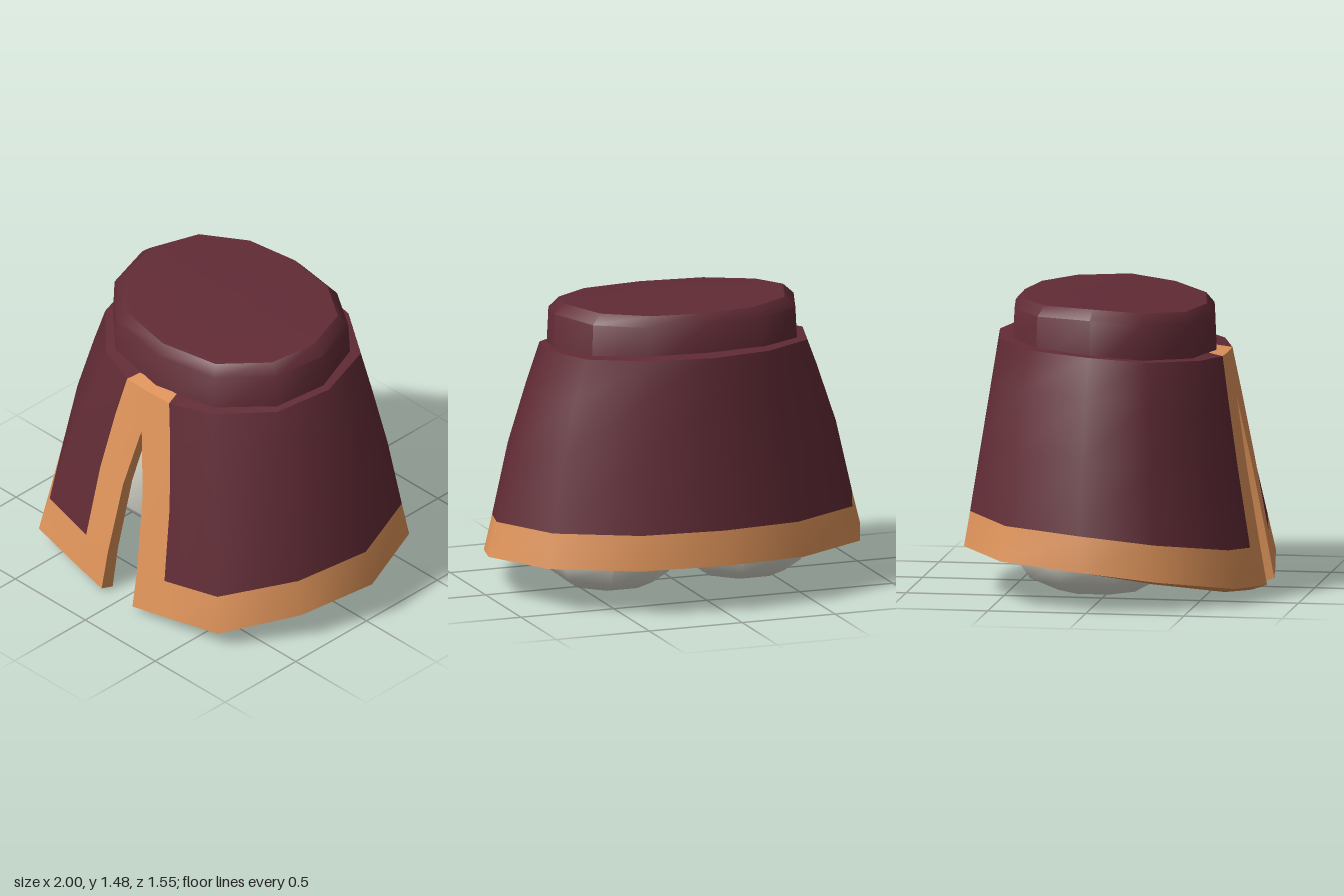
import * as THREE from 'three';
import { toCreasedNormals } from 'three/addons/utils/BufferGeometryUtils.js';

const V = (x, y, z) => new THREE.Vector3(x, y, z);

// Surface through rows of points; quads where second(i, j) is true use the second material.
function loft(rows, second = () => false, crease = 0.9) {
  const n = rows[0].length, sets = [[], []];
  for (let i = 0; i < rows.length - 1; i++) {
    for (let j = 0; j < n - 1; j++) {
      const a = i * n + j, d = a + n;
      sets[second(i, j) ? 1 : 0].push(a, a + 1, d + 1, a, d + 1, d);
    }
  }
  const g = new THREE.BufferGeometry();
  g.setAttribute('position', new THREE.Float32BufferAttribute(rows.flat().flatMap((p) => p.toArray()), 3));
  g.setIndex([...sets[0], ...sets[1]]);
  g.addGroup(0, sets[0].length, 0);
  g.addGroup(sets[0].length, sets[1].length, 1);
  return toCreasedNormals(g, crease);
}

// Half outline running front to back, completed on the -x side.
const mirrored = (half) => [...half, ...half.slice(0, -1).reverse().map((p) => V(-p.x, p.y, p.z))];

// Eight-sided oval ring with flats facing the axes.
const oval = (cx, y, cz, rx, rz) => Array.from({ length: 9 }, (_, k) => {
  const a = ((k + 0.5) / 8) * Math.PI * 2;
  return V(cx + 1.06 * rx * Math.sin(a), y, cz + 1.06 * rz * Math.cos(a));
});

export function createModel() {
  const cloth = new THREE.MeshStandardMaterial({ color: 0x612b35 });
  cloth.name = 'maroon cloth';
  const trim = new THREE.MeshStandardMaterial({ color: 0xdf945a });
  trim.name = 'golden trim';
  const legColor = new THREE.MeshStandardMaterial({ color: 0xe2e1d6 });
  legColor.name = 'pale grey';

  const model = new THREE.Group();
  model.name = 'skirtedHips';
  const add = (name, geometry, material, parent = model) => {
    const mesh = new THREE.Mesh(geometry, material);
    mesh.name = name;
    parent.add(mesh);
  };

  // Skirt columns: hem point, then waist point, from the front slit to the back
  const columns = [
    [0.11, 0.02, 0.775, 0, 1.185, 0.56],
    [0.29, 0.04, 0.75, 0.15, 1.185, 0.555],
    [0.64, 0.08, 0.695, 0.375, 1.195, 0.48],
    [0.88, 0.14, 0.34, 0.615, 1.215, 0.25],
    [1.0, 0.2, -0.04, 0.69, 1.245, -0.04],
    [0.84, 0.22, -0.46, 0.595, 1.26, -0.36],
    [0.44, 0.23, -0.715, 0.315, 1.27, -0.55],
    [0, 0.235, -0.775, 0, 1.272, -0.605],
  ];
  const levels = [0, 0.17, 0.52, 0.81, 1];
  const bulge = [1, 1.008, 1.036, 1.022, 1];
  const slitX = [0.11, 0.105, 0.07, 0, 0];
  const trimX = [0.29, 0.28, 0.248, 0.195, 0.15];
  const outer = levels.map((t, i) => mirrored(columns.map(([x0, y0, z0, x1, y1, z1], j) => {
    const x = j === 0 ? slitX[i] : j === 1 ? trimX[i] : (x0 + (x1 - x0) * t) * bulge[i];
    return V(x, y0 + (y1 - y0) * t, z0 + (z1 - z0) * t);
  })));
  const last = outer[0].length - 1;
  const inner = outer.map((row, i) => row.map((p, j) => {
    const edge = j === 0 || j === last;
    const drop = i === 0 ? -0.01 - 0.015 * Math.max(0, p.z + 0.3) : i === 4 ? 0.012 : 0;
    const inset = i === 4 ? 0.87 : 0.92;
    return V(p.x * (edge ? 1 : inset), p.y + drop, p.z * (edge ? inset - 0.02 : inset));
  }));

  const skirt = new THREE.Group();
  skirt.name = 'skirt';
  model.add(skirt);
  const frontTrim = (j) => j === 0 || j === last - 1;
  add('skirtOutside', loft(outer, (i, j) => i === 0 || frontTrim(j)), [cloth, trim], skirt);
  add('skirtRim', loft([outer[4], inner[4]], (i, j) => frontTrim(j)), [cloth, trim], skirt);
  add('skirtLining', loft([...inner].reverse()), trim, skirt);
  add('skirtHem', loft([inner[0], outer[0]]), trim, skirt);
  // Thickness of the cloth along both sides of the slit
  const wall = [0, 1, 2, 3];
  add('leftSlitEdge', loft(wall.map((i) => [inner[i][0], outer[i][0]])), trim, skirt);
  add('rightSlitEdge', loft(wall.map((i) => [outer[i][last], inner[i][last]])), trim, skirt);

  // Waistband: bevelled, slightly tilted ring with a closed top
  const plan = [[0, 0.503], [0.355, 0.44], [0.59, 0.225], [0.655, -0.04], [0.555, -0.33], [0.31, -0.49], [0, -0.535]];
  const topY = (z) => Math.min(1.475, 1.472 - 0.1 * z);
  const ring = (scale, height) => mirrored(plan.map(([x, z]) => V(x * scale, height(z * scale), z * scale)));
  const center = (y) => ring(0, () => y);
  const bandTop = ring(0.895, topY);
  add('waistband', loft([
    center(1.14),
    ring(1, (z) => 1.15 - 0.07 * z),
    ring(0.98, (z) => topY(z) - 0.05),
    bandTop,
  ]), cloth);
  add('waistTop', loft([bandTop, center(1.473)]), cloth);

  // Rounded legs: height, x radius, z radius, z centre
  const legRings = [
    [0.02, 0.2, 0.2, -0.04],
    [0.08, 0.275, 0.325, -0.055],
    [0.18, 0.31, 0.4, -0.05],
    [0.5, 0.325, 0.39, -0.05],
    [0.8, 0.325, 0.36, -0.04],
    [1.1, 0.28, 0.3, -0.03],
  ];
  for (const side of [1, -1]) {
    const leg = new THREE.Group();
    leg.name = side > 0 ? 'leftLeg' : 'rightLeg';
    model.add(leg);
    const rows = legRings.map(([y, rx, rz, cz]) => oval(side * 0.355, y, cz, rx, rz));
    add('thigh', loft(rows), legColor, leg);
    add('legEnd', loft([oval(side * 0.355, 0.02, -0.04, 0, 0), rows[0]]), legColor, leg);
  }

  // Hips joining the legs under the waistband
  add('hips', loft([
    oval(0, 0.84, -0.03, 0, 0),
    oval(0, 0.86, -0.03, 0.58, 0.42),
    oval(0, 1.12, -0.03, 0.52, 0.4),
  ]), legColor);
  return model;
}
